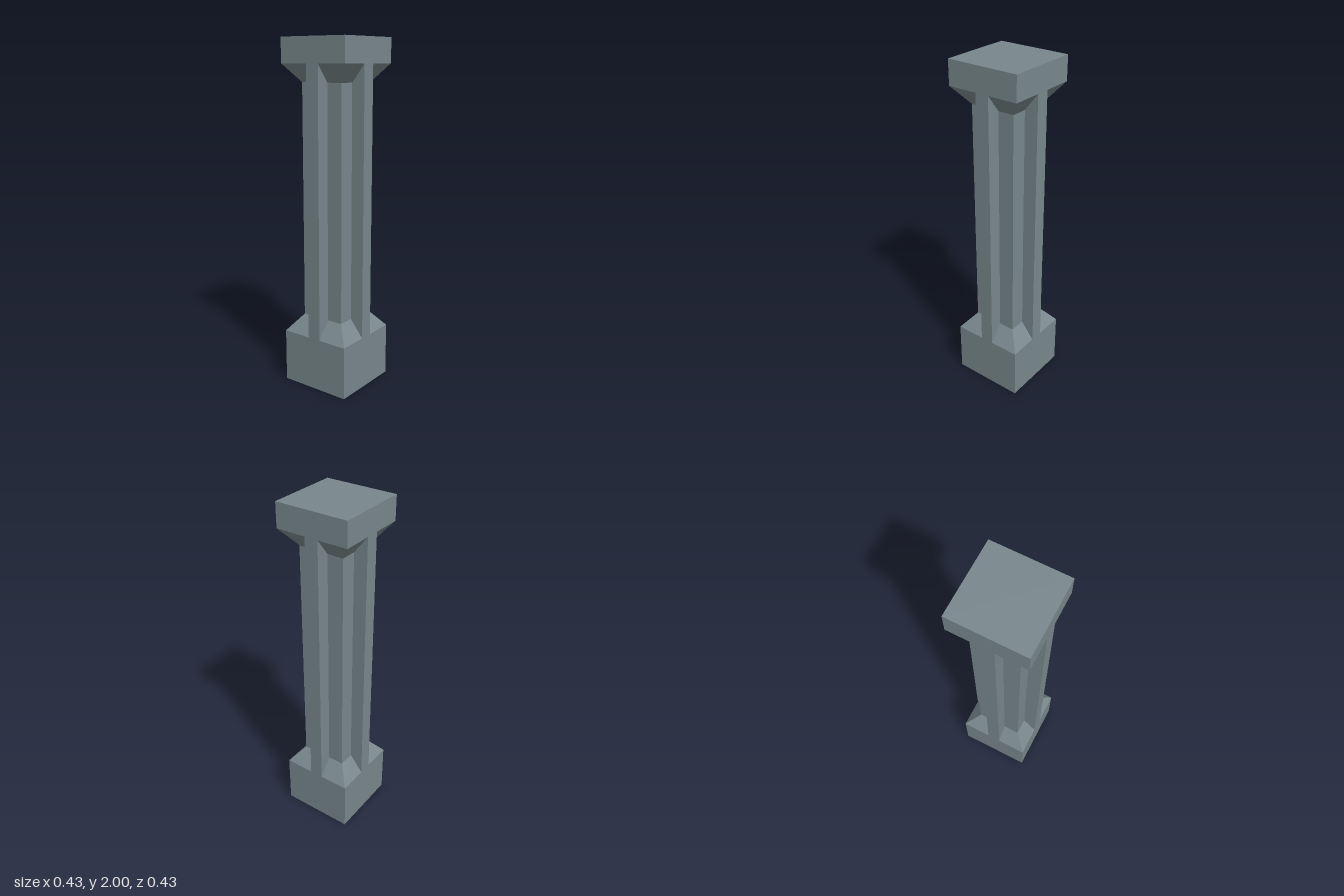
import * as THREE from 'three';

const OUTER = 0.215; // half width of plinth, cap and ribs
const INNER = 0.135; // half width of the square core
const RIB = 0.04;    // half width of each rib

// Cross-section: a square core of half width s with a rib on each side
function section(s) {
  const points = [];
  for (let side = 0; side < 4; side++) {
    const quarter = [[RIB, OUTER], [RIB, s], [s, s], [s, RIB], [OUTER, RIB]];
    for (let [x, z] of quarter) {
      for (let k = 0; k < side; k++) [x, z] = [z, -x];
      points.push([x, z]);
    }
  }
  return points;
}

// Skin between levels given as [height, core half width]
function loft(levels) {
  const rings = levels.map(([y, s]) => section(s).map(([x, z]) => new THREE.Vector3(x, y, z)));
  const pos = [];
  const tri = (a, b, c) => {
    if (new THREE.Triangle(a, b, c).getArea() > 1e-7) pos.push(...a, ...b, ...c);
  };
  for (let i = 0; i < rings.length - 1; i++) {
    const low = rings[i], high = rings[i + 1], n = low.length;
    for (let j = 0; j < n; j++) {
      const k = (j + 1) % n;
      tri(low[j], low[k], high[k]);
      tri(low[j], high[k], high[j]);
    }
  }
  const geometry = new THREE.BufferGeometry();
  geometry.setAttribute('position', new THREE.Float32BufferAttribute(pos, 3));
  geometry.computeVertexNormals();
  return geometry;
}

export function createModel() {
  const stone = new THREE.MeshStandardMaterial({ color: 0x78878c, side: THREE.DoubleSide, flatShading: true });
  stone.name = 'greyStone';
  const group = new THREE.Group();
  group.name = 'pillar';
  const add = (name, geometry) => {
    const mesh = new THREE.Mesh(geometry, stone);
    mesh.name = name;
    group.add(mesh);
    return mesh;
  };

  // Hollow plinth, open underneath, sloping in to the core
  add('plinth', loft([[0, OUTER], [0.31, OUTER], [0.41, INNER]]));
  // Ribbed shaft
  add('shaft', loft([[0.41, INNER], [1.76, INNER]]));
  // Capital flaring back out to full width
  add('capital', loft([[1.76, INNER], [1.86, OUTER], [2, OUTER]]));
  // Flat top
  const top = add('capitalTop', new THREE.PlaneGeometry(OUTER * 2, OUTER * 2));
  top.rotation.x = -Math.PI / 2;
  top.position.y = 2;

  return group;
}
